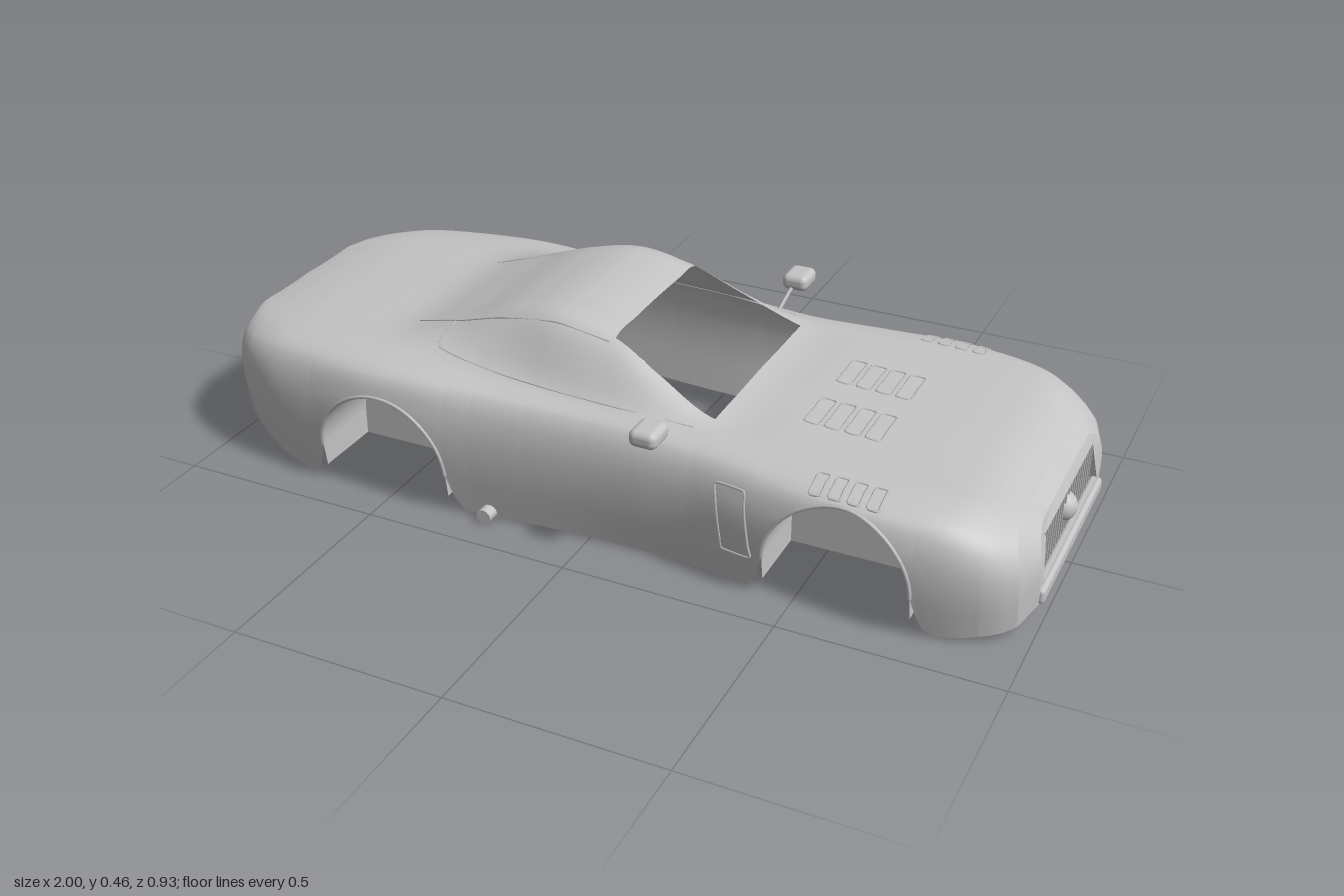
import * as THREE from 'three';
import { RoundedBoxGeometry } from 'three/addons/geometries/RoundedBoxGeometry.js';

const paint = new THREE.MeshStandardMaterial({ color: 0xc4c4c4, side: THREE.DoubleSide });
paint.name = 'grey paint';

// Body stations along the car:
// x, half width, shoulder y, cabin base z, y, roof edge z, y, centre y
const STATIONS = [
  [-0.99, 0.27, 0.28, 0.2, 0.3, 0.12, 0.302, 0.304],
  [-0.97, 0.315, 0.285, 0.24, 0.304, 0.15, 0.307, 0.309],
  [-0.92, 0.36, 0.295, 0.28, 0.312, 0.18, 0.316, 0.318],
  [-0.83, 0.4, 0.305, 0.32, 0.322, 0.2, 0.326, 0.328],
  [-0.7, 0.42, 0.315, 0.33, 0.33, 0.2, 0.333, 0.335],
  [-0.55, 0.435, 0.32, 0.33, 0.335, 0.2, 0.342, 0.345],
  [-0.42, 0.43, 0.32, 0.32, 0.335, 0.195, 0.38, 0.385],
  [-0.28, 0.413, 0.31, 0.315, 0.33, 0.2, 0.43, 0.437],
  [-0.15, 0.4, 0.305, 0.31, 0.325, 0.215, 0.45, 0.46],
  [-0.01, 0.39, 0.3, 0.31, 0.32, 0.21, 0.428, 0.437],
  [0.1, 0.387, 0.295, 0.31, 0.315, 0.228, 0.375, 0.38],
  [0.25, 0.39, 0.285, 0.305, 0.302, 0.25, 0.307, 0.31],
  [0.42, 0.415, 0.28, 0.32, 0.294, 0.22, 0.297, 0.298],
  [0.6, 0.435, 0.275, 0.34, 0.288, 0.22, 0.288, 0.29],
  [0.78, 0.42, 0.265, 0.32, 0.28, 0.2, 0.278, 0.28],
  [0.9, 0.385, 0.24, 0.29, 0.262, 0.18, 0.262, 0.264],
  [0.965, 0.33, 0.215, 0.25, 0.235, 0.16, 0.238, 0.24],
  [0.99, 0.26, 0.195, 0.2, 0.215, 0.14, 0.218, 0.22],
];
const SILL = [[-0.99, 0.12], [-0.97, 0.1], [-0.9, 0.065], [-0.8, 0.022], [-0.7, 0.005], [0.84, 0.005], [0.96, 0.02], [0.99, 0.045]];
const ARCHES = [-0.51, 0.597], ARCH_R = 0.165, ARCH_Y = 0.1;
const HOLE = [-0.01, 0.25], SHOULDER = 3 / 7, ROOF_EDGE = 5 / 7;

function locate(rows, x) {
  let i = 0;
  while (i < rows.length - 2 && x > rows[i + 1][0]) i++;
  return i;
}
// Smooth (Hermite) reading of one column of the station table
function station(x, k) {
  const S = STATIONS, i = locate(S, x), a = S[i], b = S[i + 1], h = b[0] - a[0], t = (x - a[0]) / h;
  const slope = (p) => {
    const l = S[Math.max(p - 1, 0)], r = S[Math.min(p + 1, S.length - 1)];
    return (r[k] - l[k]) / (r[0] - l[0]);
  };
  const t2 = t * t, t3 = t2 * t;
  return (2 * t3 - 3 * t2 + 1) * a[k] + (t3 - 2 * t2 + t) * h * slope(i)
    + (3 * t2 - 2 * t3) * b[k] + (t3 - t2) * h * slope(i + 1);
}
function sill(x) {
  const i = locate(SILL, x), [x0, y0] = SILL[i], [x1, y1] = SILL[i + 1];
  return y0 + (y1 - y0) * (x - x0) / (x1 - x0);
}
// Lower edge of the flank, raised over the wheel arches
function lowerEdge(x) {
  const base = sill(x);
  for (const c of ARCHES) {
    const d = Math.abs(x - c) - ARCH_R;
    if (d <= 0) return ARCH_Y + Math.sqrt(Math.max(0, ARCH_R ** 2 - (x - c) ** 2));
    if (d < 0.05) return base + (ARCH_Y - base) * (1 - d / 0.05) ** 2.5;
  }
  return base;
}
// The nose leans back towards its top
const lean = (x, y) => x - 2.5 * THREE.MathUtils.smoothstep(x, 0.8, 0.99) * Math.max(0, y - 0.12) ** 2;

function sectionCurve(x) {
  const [W, ys, zb, yb, zr, yr, yt] = [1, 2, 3, 4, 5, 6, 7].map((k) => station(x, k));
  const y0 = sill(x), h = ys - y0;
  return new THREE.CatmullRomCurve3([
    [W * 0.955, y0], [W, y0 + h * 0.45], [W * 0.99, y0 + h * 0.78], [W * 0.93, ys - 0.008],
    [zb, yb], [zr, yr], [zr * 0.5, yt - 0.002], [0, yt],
  ].map(([z, y]) => new THREE.Vector3(x, y, z)));
}
// Bisection for the curve parameter where test first holds
function solve(curve, lo, hi, test) {
  for (let i = 0; i < 24; i++) {
    const m = (lo + hi) / 2;
    if (test(curve.getPoint(m))) hi = m; else lo = m;
  }
  return hi;
}
function halfSection(x) {
  const c = sectionCurve(x), low = lowerEdge(x), pts = [];
  const t0 = low > sill(x) + 1e-5 ? solve(c, 0, SHOULDER, (p) => p.y >= low) : 0;
  for (let i = 0; i < 10; i++) pts.push(c.getPoint(t0 + (SHOULDER - t0) * i / 10));
  for (let i = 0; i <= 24; i++) pts.push(c.getPoint(SHOULDER + (1 - SHOULDER) * i / 24));
  pts.forEach((p) => { p.x = lean(p.x, p.y); });
  return pts;
}
function fullSection(x) {
  const half = halfSection(x);
  return [...half, ...half.slice(0, -1).reverse().map((p) => new THREE.Vector3(p.x, p.y, -p.z))];
}
function sidePoint(x, y, out = 0) {
  const c = sectionCurve(x), p = c.getPoint(solve(c, 0, SHOULDER, (q) => q.y >= y));
  return new THREE.Vector3(x, y, p.z + out);
}
function topPoint(x, z) {
  const c = sectionCurve(x), p = c.getPoint(solve(c, 0.3, 1, (q) => q.z <= z));
  return new THREE.Vector3(lean(x, p.y), p.y, z);
}
// Smooth surface through rows of points
function loft(rows, skip = () => false) {
  const n = rows[0].length, index = [];
  for (let i = 0; i < rows.length - 1; i++) for (let j = 0; j < n - 1; j++) {
    if (skip(i, j)) continue;
    const a = i * n + j, b = a + n;
    index.push(a, b, a + 1, b, b + 1, a + 1);
  }
  const g = new THREE.BufferGeometry().setFromPoints(rows.flat());
  g.setIndex(index);
  g.computeVertexNormals();
  return g;
}
// End panel closing the shell, with one opening
function endPanel(x, opening) {
  const shape = new THREE.Shape(fullSection(x).map((p) => new THREE.Vector2(p.z, p.y)));
  shape.holes.push(new THREE.Path(opening.map(([z, y]) => new THREE.Vector2(z, y))));
  const g = new THREE.ShapeGeometry(shape), p = g.attributes.position;
  for (let i = 0; i < p.count; i++) p.setXYZ(i, lean(x, p.getY(i)), p.getY(i), p.getX(i));
  g.computeVertexNormals();
  return g;
}
const line = (pts, r, closed = false, n = pts.length * 3) =>
  new THREE.TubeGeometry(new THREE.CatmullRomCurve3(pts, closed, 'catmullrom', 0.2), n, r, 5, closed);

export function createModel() {
  const car = new THREE.Group();
  car.name = 'carBody';
  const add = (name, geo, parent = car) => {
    const m = new THREE.Mesh(geo, paint);
    m.name = name;
    parent.add(m);
    return m;
  };
  const place = (name, geo, x, y, z, parent) => add(name, geo, parent).position.set(x, y, z);

  // Body shell with the windscreen opening
  const xs = [...HOLE, ...STATIONS.map((s) => s[0])];
  for (let i = 0; i < 90; i++) xs.push(-0.985 + i * 0.0219);
  for (const c of ARCHES) for (let i = 0; i <= 36; i++) xs.push(c - ARCH_R * Math.cos(Math.PI * i / 36));
  xs.sort((a, b) => a - b);
  const cuts = xs.filter((x, i) => i === 0 || x - xs[i - 1] > 1e-5);
  const edge = 10 + Math.round((ROOF_EDGE - SHOULDER) / (1 - SHOULDER) * 24), cols = 69;
  add('bodyShell', loft(cuts.map(fullSection), (i, j) =>
    cuts[i] > HOLE[0] - 1e-4 && cuts[i + 1] < HOLE[1] + 1e-4 && j >= edge && j < cols - 1 - edge));

  // Nose: grille opening, bars, ball and bumper
  add('nosePanel', endPanel(0.99, [[-0.228, 0.09], [0.228, 0.09], [0.2, 0.192], [-0.2, 0.192]]));
  place('grilleBack', new THREE.BoxGeometry(0.005, 0.115, 0.46), 0.952, 0.14, 0);
  for (let i = -9; i <= 9; i++) place('grilleBar', new THREE.BoxGeometry(0.02, 0.104, 0.005), 0.967, 0.14, i * 0.0225);
  place('grilleBall', new THREE.SphereGeometry(0.035, 24, 16), 0.963, 0.14, 0);
  place('frontBumper', new RoundedBoxGeometry(0.03, 0.037, 0.505, 3, 0.01), 0.985, 0.064, 0);

  // Tail: recessed panel and lower lip
  add('tailPanel', endPanel(-0.99, [[-0.22, 0.165], [0.22, 0.165], [0.22, 0.25], [-0.22, 0.25]]));
  place('tailRecess', new THREE.BoxGeometry(0.005, 0.1, 0.46), -0.968, 0.207, 0);
  place('tailLip', new RoundedBoxGeometry(0.025, 0.022, 0.5, 2, 0.008), -0.9875, 0.12, 0);

  for (const s of [1, -1]) {
    const side = new THREE.Group();
    side.name = s > 0 ? 'frontFacingSide' : 'rearFacingSide';
    car.add(side);
    const flip = (p) => new THREE.Vector3(p.x, p.y, p.z * s);

    // Wheel wells with an inner wall and an arch lip
    for (const c of ARCHES) {
      const arc = [];
      for (let i = 0; i <= 28; i++) {
        const a = Math.PI * i / 28;
        arc.push([c - ARCH_R * Math.cos(a), ARCH_Y + ARCH_R * Math.sin(a)]);
      }
      const path = [[c - ARCH_R, 0.04], ...arc, [c + ARCH_R, 0.04]];
      add('wheelWell', loft([path.map(([x, y]) => new THREE.Vector3(x, y, 0.24 * s)),
        path.map(([x, y]) => flip(sidePoint(x, y, -0.001)))]), side);
      const wall = new THREE.ShapeGeometry(new THREE.Shape(path.map(([x, y]) => new THREE.Vector2(x, y))));
      place('wheelWellWall', wall, 0, 0, 0.24 * s, side);
      add('archLip', line(arc.map(([x, y]) => flip(sidePoint(x, y))), 0.005), side);
    }

    // Slanted vent behind the front wheel
    const vent = [];
    for (let i = 0; i <= 6; i++) {
      const y = 0.09 + i * 0.0258, x = 0.335 - i * 0.0035;
      vent.push([0, 0.035, 0.07].map((d) => flip(sidePoint(x + d, y, 0.004))));
    }
    add('sideVent', loft(vent), side);
    const rim = [...vent.map((r) => r[0]), ...vent.map((r) => r[2]).reverse()];
    add('sideVentRim', line(rim, 0.003, true), side);

    // Louvres on the bonnet and the wing tops
    const louvre = (x, w, z0, z1) => {
      const pts = [[x, z0], [x, (z0 + z1) / 2], [x, z1], [x + w, z1], [x + w, (z0 + z1) / 2], [x + w, z0]];
      add('louvre', line(pts.map(([a, z]) => flip(topPoint(a, z))), 0.003, true, 24), side);
    };
    for (let i = 0; i < 4; i++) {
      louvre(0.42 + i * 0.047, 0.034, 0.045, 0.155);
      louvre(0.525 + i * 0.042, 0.025, 0.335, 0.395);
    }

    // Side window seams
    const seam = (pts) => add('windowSeam', line(pts.map(([x, z]) => flip(topPoint(x, z))), 0.0022, false, 40), side);
    seam([[-0.43, 0.2], [-0.43, 0.28], [-0.36, 0.3], [-0.25, 0.31], [-0.1, 0.312], [0.05, 0.312], [0.22, 0.3]]);
    seam([[-0.54, 0.18], [-0.42, 0.2], [-0.3, 0.212], [-0.15, 0.224], [-0.02, 0.222]]);

    // Door mirror on its stalk
    place('mirror', new RoundedBoxGeometry(0.065, 0.04, 0.08, 4, 0.016), 0.175, 0.343, 0.425 * s, side);
    add('mirrorStalk', line([[0.165, 0.3, 0.325], [0.167, 0.318, 0.365], [0.17, 0.335, 0.4]]
      .map(([x, y, z]) => new THREE.Vector3(x, y, z * s)), 0.005), side);

    // Side exhaust tip
    const tip = new THREE.CylinderGeometry(0.018, 0.018, 0.06, 20).rotateX(Math.PI / 2);
    place('exhaustTip', tip, -0.245, 0.018, 0.392 * s, side);
  }
  return car;
}
